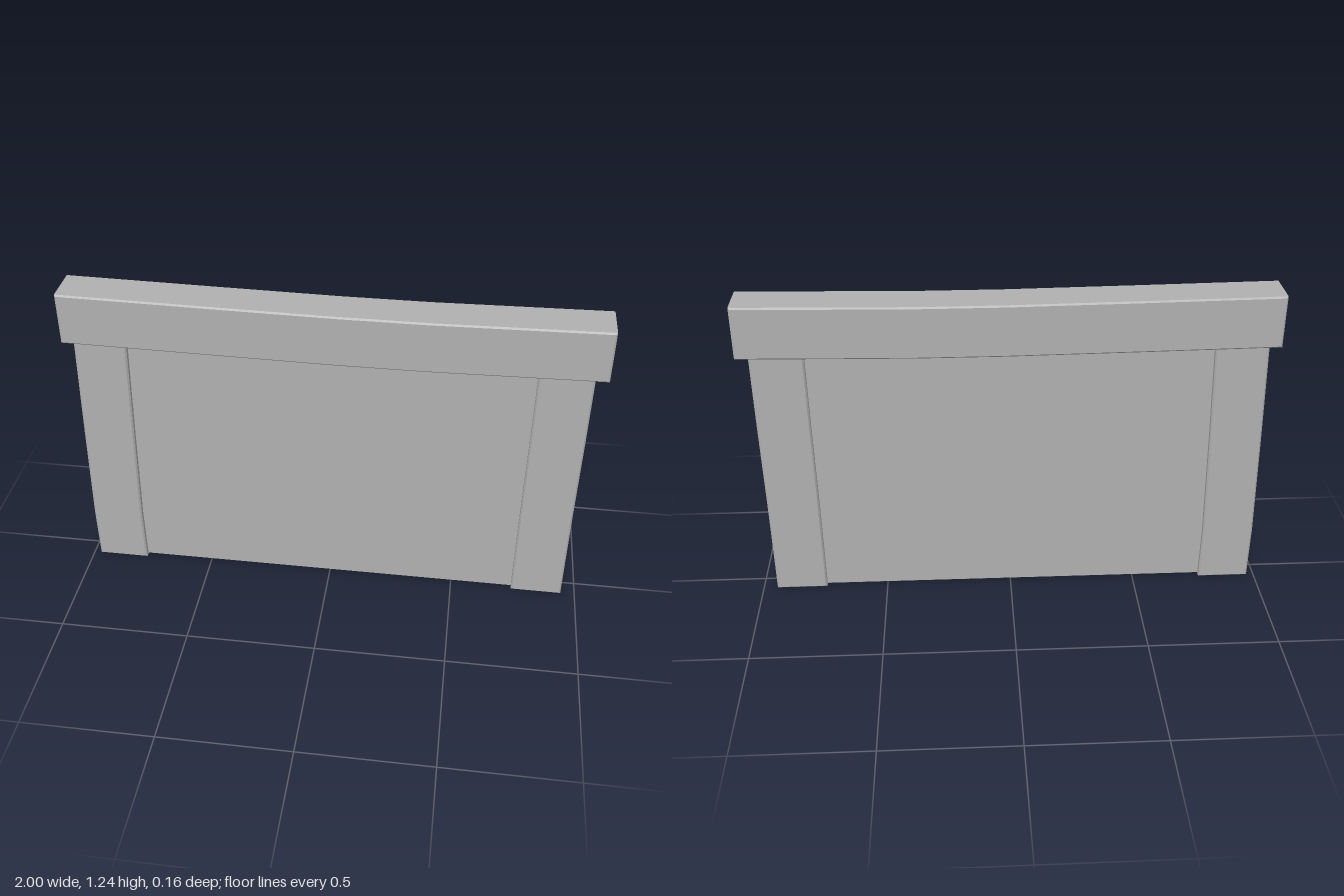
import * as THREE from 'three';

// Slab with chamfered front and back edges, cut from an outline in the xy plane
function slab(name, points, halfDepth, bevel, material) {
  const shape = new THREE.Shape(points.map(([x, y]) => new THREE.Vector2(x, y)));
  const geometry = new THREE.ExtrudeGeometry(shape, {
    depth: 2 * (halfDepth - bevel),
    bevelEnabled: true,
    bevelThickness: bevel,
    bevelSize: bevel,
    bevelOffset: -bevel,
    bevelSegments: 1,
  });
  geometry.translate(0, 0, bevel - halfDepth);
  const mesh = new THREE.Mesh(geometry, material);
  mesh.name = name;
  return mesh;
}

// Outline of a post: its outer line of [x, y] points, swept sideways by a width
function postOutline(line, width) {
  const other = line.map(([x, y]) => [x + width, y]).reverse();
  return [...other, ...line];
}

export function createModel() {
  const model = new THREE.Group();
  model.name = 'wallPanel';
  const grey = new THREE.MeshStandardMaterial({ color: 0xb0b0b0 });
  grey.name = 'grey';

  // Slightly crooked posts, running up into the beam
  const rightPost = [[-0.972, 0], [-0.974, 0.22], [-0.966, 0.62], [-0.955, 1.06]];
  const leftPost = [[0.744, 0.002], [0.746, 0.4], [0.75, 0.75], [0.752, 1.06]];
  model.add(slab('rightPost', postOutline(rightPost, 0.2), 0.072, 0.006, grey));
  model.add(slab('leftPost', postOutline(leftPost, 0.2), 0.072, 0.006, grey));

  // Thinner infill between the posts
  const infill = [[-0.85, 0.004], [0.85, 0.004], [0.85, 1.06], [-0.85, 1.06]];
  model.add(slab('infillPanel', infill, 0.05, 0.002, grey));

  // Sagging top beam
  const sag = [[-1, 1.235], [-0.45, 1.227], [0.02, 1.221], [0.35, 1.221], [0.65, 1.226], [1, 1.232]];
  const underside = sag.map(([x, y]) => [x, y - 0.202]);
  model.add(slab('topBeam', [...underside, ...sag.slice().reverse()], 0.081, 0.006, grey));

  return model;
}
